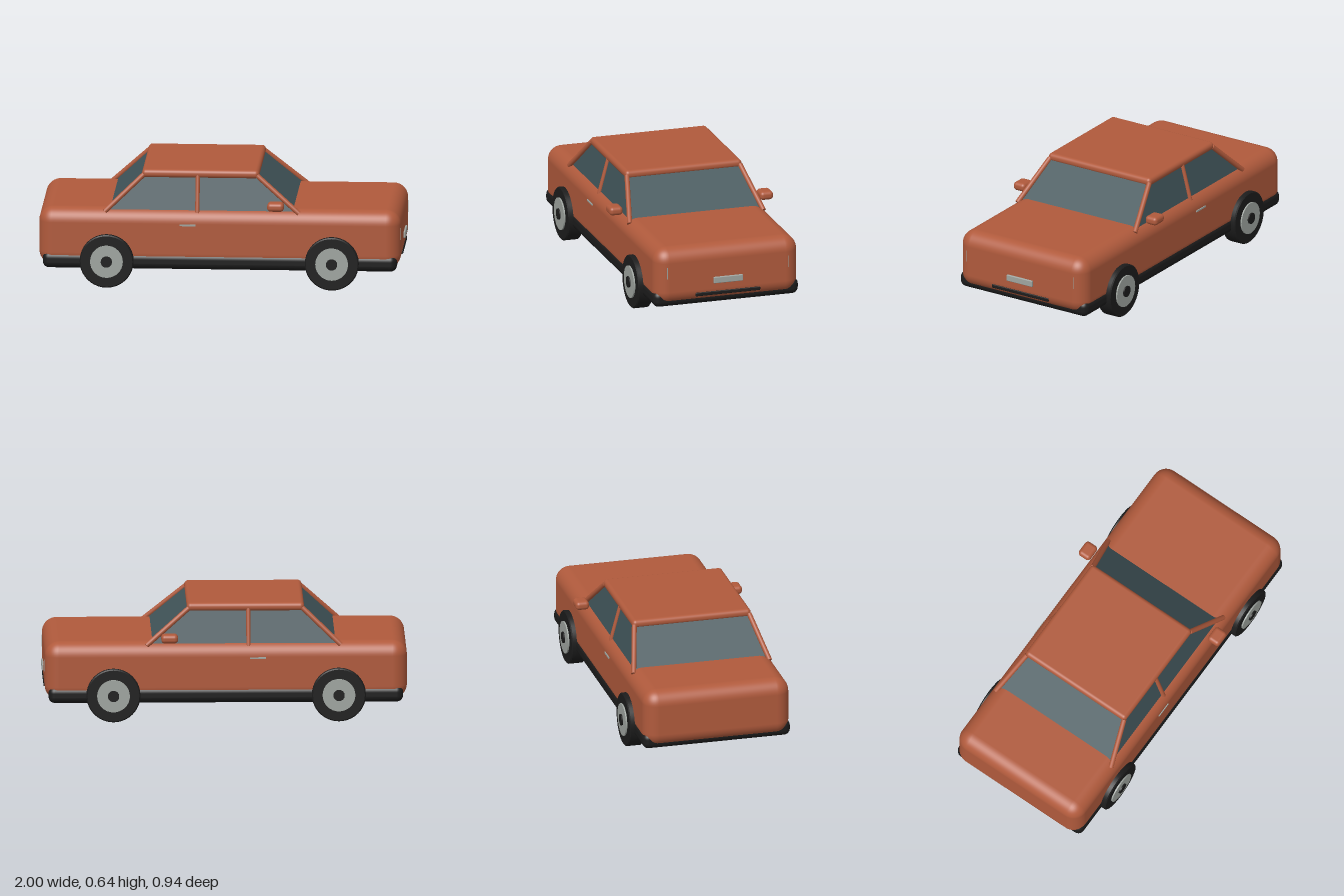
import * as THREE from 'three';
import { RoundedBoxGeometry } from 'three/addons/geometries/RoundedBoxGeometry.js';

const material = (name, color) => {
  const m = new THREE.MeshStandardMaterial({ color });
  m.name = name;
  return m;
};

export function createModel() {
  const paint = material('rust paint', 0xb05a3c);
  const glass = material('tinted glass', 0x405459);
  const black = material('black rubber', 0x1c1c1c);
  const metal = material('grey metal', 0x9fa5a0);

  const car = new THREE.Group();
  car.name = 'car';

  const add = (name, geometry, mat, parent = car) => {
    const mesh = new THREE.Mesh(geometry, mat);
    mesh.name = name;
    parent.add(mesh);
    return mesh;
  };

  // Box given by its limits on each axis, rounded when r > 0
  const block = (name, mat, [x0, x1], [y0, y1], [z0, z1], r = 0) => {
    const size = [x1 - x0, y1 - y0, z1 - z0];
    const geometry = r ? new RoundedBoxGeometry(...size, 6, r) : new THREE.BoxGeometry(...size);
    const mesh = add(name, geometry, mat);
    mesh.position.set((x0 + x1) / 2, (y0 + y1) / 2, (z0 + z1) / 2);
    return mesh;
  };

  // Round bar between two points
  const bar = (name, mat, a, b, r) => {
    const from = new THREE.Vector3(...a);
    const to = new THREE.Vector3(...b);
    const dir = to.clone().sub(from);
    const mesh = add(name, new THREE.CylinderGeometry(r, r, dir.length(), 16), mat);
    mesh.position.copy(from).add(to).multiplyScalar(0.5);
    mesh.quaternion.setFromUnitVectors(new THREE.Vector3(0, 1, 0), dir.normalize());
    return mesh;
  };

  // Body shell, lower sill and roof
  block('body', paint, [-1, 0.987], [0.11, 0.437], [-0.414, 0.414], 0.08);
  block('sill', black, [-0.978, 0.967], [0.1, 0.19], [-0.418, 0.418], 0.035);
  block('roof', paint, [-0.437, 0.207], [0.597, 0.644], [-0.337, 0.337], 0.022);

  // Cabin glass: a box tapered towards the roof
  const cabin = new THREE.BoxGeometry(1, 1, 1);
  const p = cabin.attributes.position;
  for (let i = 0; i < p.count; i++) {
    const top = p.getY(i) > 0;
    const front = p.getX(i) > 0;
    const x = front ? (top ? 0.2 : 0.427) : (top ? -0.43 : -0.635);
    p.setXYZ(i, x, top ? 0.61 : 0.41, Math.sign(p.getZ(i)) * (top ? 0.325 : 0.377));
  }
  cabin.computeVertexNormals();
  add('cabinGlass', cabin, glass);

  for (const s of [1, -1]) {
    const span = (a, b) => (s > 0 ? [a, b] : [-b, -a]);

    // Roof pillars
    bar('frontPillar', paint, [0.197, 0.615, s * 0.326], [0.43, 0.418, s * 0.386], 0.014);
    bar('rearPillar', paint, [-0.427, 0.615, s * 0.326], [-0.638, 0.418, s * 0.386], 0.014);
    bar('middlePillar', paint, [-0.13, 0.615, s * 0.325], [-0.13, 0.412, s * 0.38], 0.012);

    // Side mirror and door handle
    block('mirror', paint, [0.258, 0.35], [0.443, 0.491], span(0.396, 0.472), 0.02);
    block('doorHandle', metal, [-0.225, -0.137], [0.347, 0.356], span(0.41, 0.419));

    // Slim front lamp
    block('frontLamp', metal, [0.98, 0.9885], [0.27, 0.336], span(0.3485, 0.3515));

    // Wheels: tyre, rim and centre cap stacked outwards
    for (const x of [-0.625, 0.612]) {
      const wheel = new THREE.Group();
      wheel.name = 'wheel';
      wheel.position.set(x, 0.148, 0);
      wheel.rotation.x = s * Math.PI / 2;
      car.add(wheel);
      const tyre = [[0, 0.356], [0.142, 0.356], [0.148, 0.362], [0.148, 0.436], [0.142, 0.442], [0, 0.442]];
      const profile = tyre.map(([r, h]) => new THREE.Vector2(r, h));
      // Repeated corners keep the tyre edges crisp
      const crisp = profile.flatMap((v) => [v, v.clone()]);
      add('tyre', new THREE.LatheGeometry(crisp, 40), black, wheel);
      const disc = (name, mat, r, h0, h1) => {
        add(name, new THREE.CylinderGeometry(r, r, h1 - h0, 32), mat, wheel).position.y = (h0 + h1) / 2;
      };
      disc('rim', metal, 0.09, 0.43, 0.45);
      disc('centreCap', black, 0.031, 0.44, 0.458);
    }
  }

  // Nose plate and lower air intake
  block('nosePlate', metal, [0.98, 0.997], [0.221, 0.257], [-0.084, 0.084], 0.004);
  block('airIntake', black, [0.97, 0.99], [0.154, 0.175], [-0.186, 0.186], 0.005);

  return car;
}
